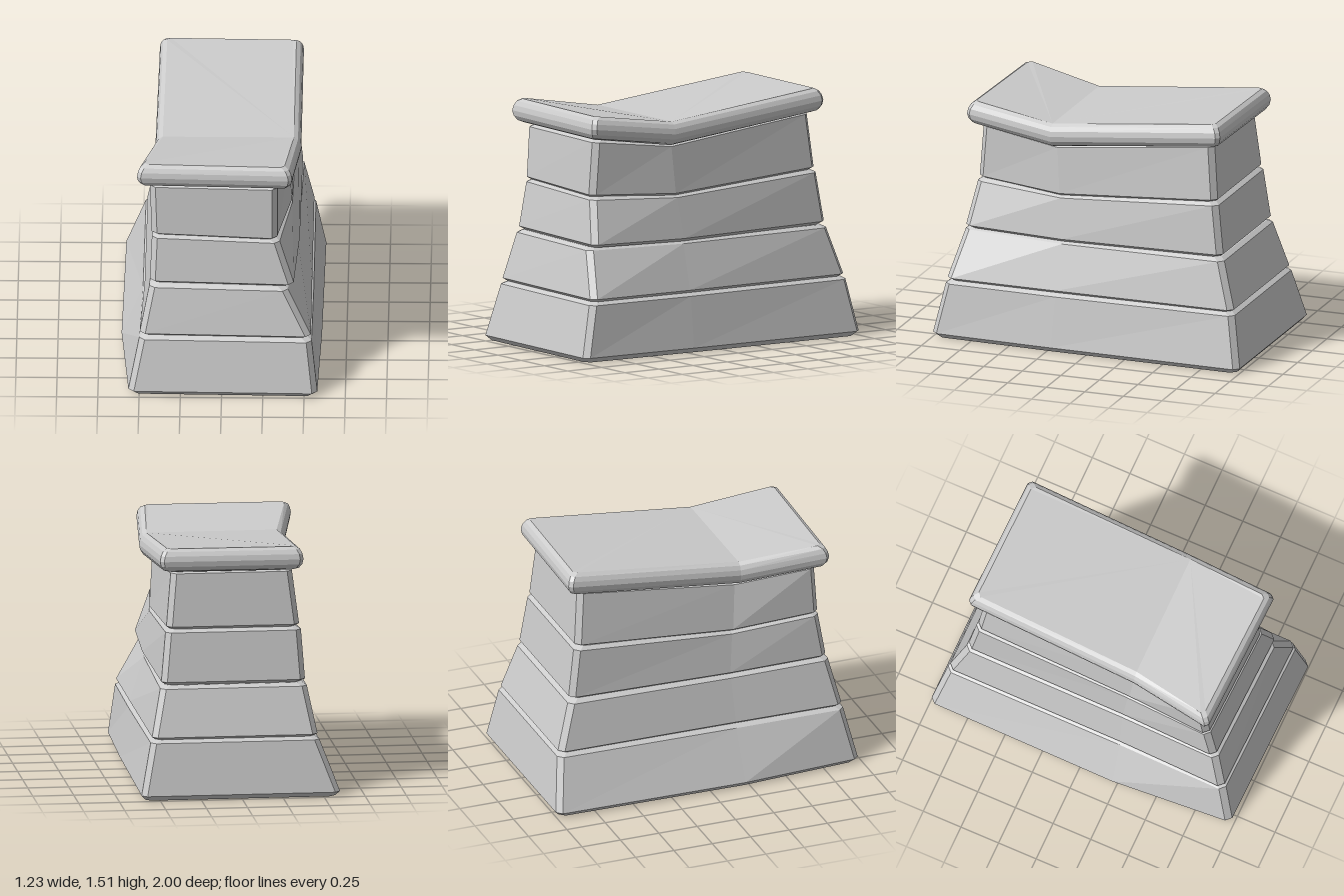
import * as THREE from 'three';

// A section is three stations (front, fold, back), each [xLow, xHigh, z, y].
// Returns a ten-point ring with clipped corners, pulled in by d and raised by dy.
function ring(section, d, dy, skew, clip = 0.033) {
  const [f, m, b] = section;
  const fy = f[3] + dy, my = m[3] + dy, by = b[3] + dy;
  const fl = f[0] + d, fr = f[1] - d, bl = b[0] + d, br = b[1] - d;
  const zr = f[2] - d, zl = f[2] - d - skew.front, zb = b[2] + d, c = clip;
  const yl = fy + skew.rise;
  return [
    [fr - c, fy, zr], [fr, fy, zr - c],
    [m[1] - d, my, m[2]],
    [br, by, zb + c], [br - c, by, zb],
    [bl + c, by, zb - skew.back], [bl, by, zb + c - skew.back],
    [m[0] + d, my, m[2]],
    [fl, yl, zl - c], [fl + c, yl, zl],
  ];
}

// Skins a stack of rings and closes both ends, keeping the fold in the caps.
function loft(name, rings) {
  const pos = [];
  const tri = (a, b, c) => pos.push(...a, ...b, ...c);
  for (let k = 0; k < rings.length - 1; k++) {
    const lo = rings[k], hi = rings[k + 1];
    for (let i = 0; i < 10; i++) {
      const j = (i + 1) % 10;
      tri(lo[i], lo[j], hi[j]);
      tri(lo[i], hi[j], hi[i]);
    }
  }
  const bottom = rings[0], top = rings[rings.length - 1];
  for (const p of [[2, 7, 8, 9, 0, 1], [2, 3, 4, 5, 6, 7]]) {
    for (let i = 1; i < p.length - 1; i++) {
      tri(top[p[0]], top[p[i]], top[p[i + 1]]);
      tri(bottom[p[0]], bottom[p[i + 1]], bottom[p[i]]);
    }
  }
  const g = new THREE.BufferGeometry();
  g.setAttribute('position', new THREE.Float32BufferAttribute(pos, 3));
  g.computeVertexNormals();
  const mesh = new THREE.Mesh(g, new THREE.MeshStandardMaterial({ color: 0xcccccc, flatShading: true }));
  mesh.name = name;
  return mesh;
}

// Lower and upper sections of each wooden tier, bottom to top
const TIERS = [
  {
    name: 'bottomTier', rise: [0, 0.005], lip: 0.03,
    lo: [[-0.565, 0.58, 1.0, 0.03], [-0.615, 0.6, 0.22, 0.03], [-0.6, 0.612, -1.0, 0.03]],
    hi: [[-0.5, 0.545, 0.93, 0.342], [-0.485, 0.55, 0.21, 0.34], [-0.48, 0.55, -0.945, 0.345]],
  },
  {
    name: 'secondTier', rise: [0.005, 0.01], lip: 0.02,
    lo: [[-0.497, 0.54, 0.92, 0.378], [-0.475, 0.54, 0.21, 0.376], [-0.47, 0.54, -0.935, 0.378]],
    hi: [[-0.44, 0.4, 0.855, 0.655], [-0.42, 0.455, 0.2, 0.65], [-0.415, 0.48, -0.85, 0.66]],
  },
  {
    name: 'thirdTier', rise: [0.01, 0.02], lip: 0.02,
    lo: [[-0.437, 0.435, 0.84, 0.692], [-0.41, 0.465, 0.2, 0.683], [-0.405, 0.472, -0.84, 0.7]],
    hi: [[-0.425, 0.35, 0.795, 0.952], [-0.385, 0.42, 0.22, 0.93], [-0.385, 0.442, -0.8, 0.998]],
  },
  {
    name: 'topTier', rise: [0.02, 0.005], lip: 0.02,
    lo: [[-0.427, 0.335, 0.79, 0.982], [-0.38, 0.418, 0.23, 0.957], [-0.375, 0.435, -0.79, 1.032]],
    hi: [[-0.437, 0.335, 0.765, 1.3], [-0.35, 0.4, 0.25, 1.243], [-0.335, 0.405, -0.76, 1.355]],
  },
];

export function createModel() {
  const model = new THREE.Group();
  model.name = 'vaultingBox';

  // Tiers with bevelled top and bottom edges
  for (const t of TIERS) {
    const skew = (i) => ({ front: 0.02, back: 0, rise: t.rise[i] });
    model.add(loft(t.name, [
      ring(t.lo, 0.028, -t.lip, { ...skew(0), rise: t === TIERS[0] ? 0 : t.rise[0] }),
      ring(t.lo, 0, 0, skew(0)),
      ring(t.hi, 0, 0, skew(1)),
      ring(t.hi, 0.028, 0.018, skew(1)),
    ]));
  }

  // Padded top with a rounded rim, bent at the fold
  const pad = [[-0.515, 0.425, 0.835, 1.325], [-0.41, 0.475, 0.27, 1.257], [-0.395, 0.478, -0.825, 1.37]];
  const rim = [[0.055, 0], [0.025, 0.012], [0.006, 0.04], [0, 0.072], [0.006, 0.104], [0.02, 0.13], [0.045, 0.145]];
  model.add(loft('paddedTop', rim.map(([d, y]) =>
    ring(pad, d, y, { front: 0.025, back: 0.015, rise: 0.003 }, 0.022))));

  return model;
}
